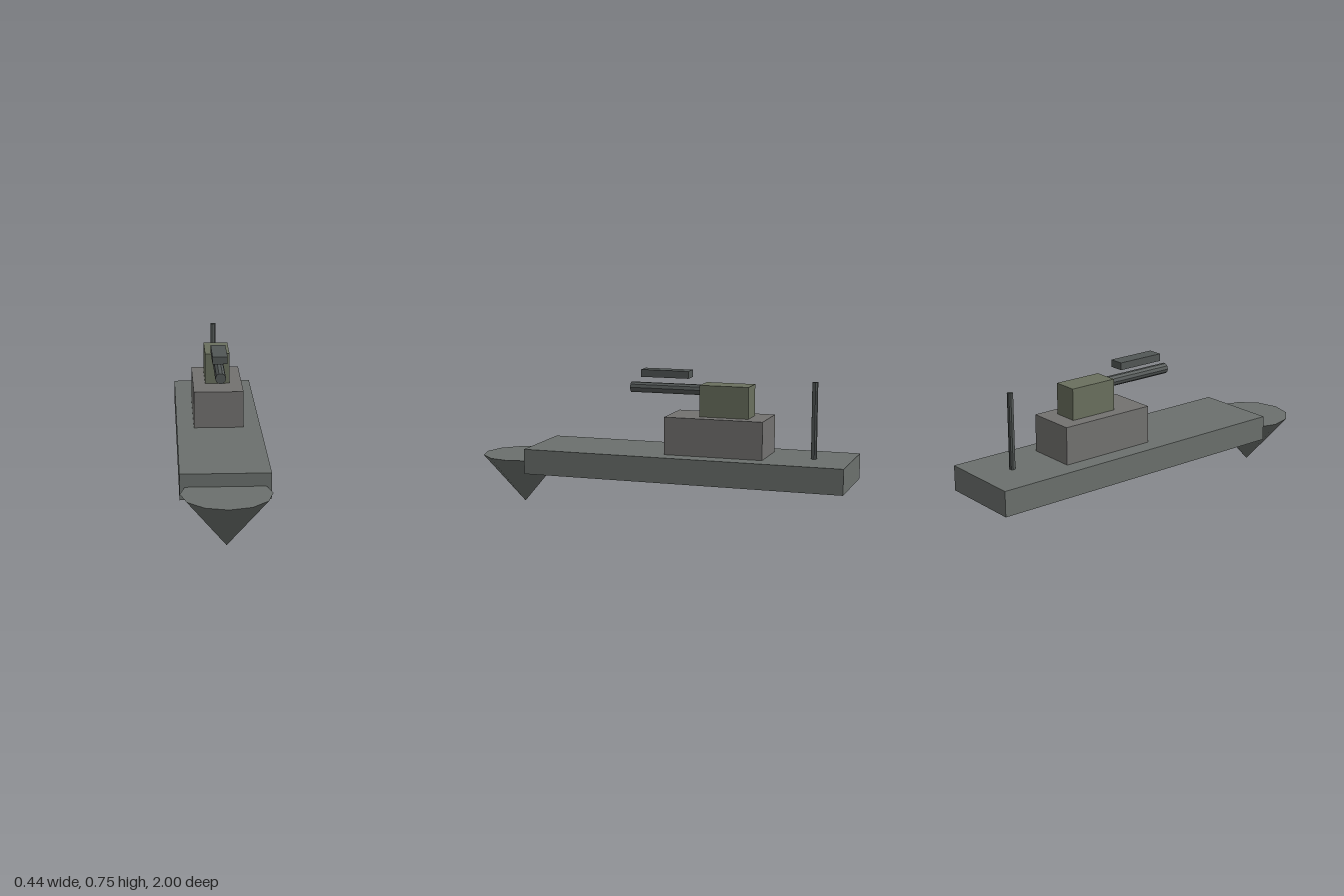
import * as THREE from 'three';

const paint = (color) => new THREE.MeshStandardMaterial({ color, flatShading: true });

export function createModel() {
  const ship = new THREE.Group();
  ship.name = 'ship';

  const hullGrey = paint(0x6b706d);
  const houseGrey = paint(0x737270);
  const olive = paint(0x6a705e);
  const gunmetal = paint(0x525756);

  const add = (name, geometry, material, x, y, z) => {
    const mesh = new THREE.Mesh(geometry, material);
    mesh.name = name;
    mesh.position.set(x, y, z);
    ship.add(mesh);
    return mesh;
  };

  // Box given by width and its y and z ranges, centred on x = 0
  const block = (name, material, width, y0, y1, z0, z1) =>
    add(name, new THREE.BoxGeometry(width, y1 - y0, z1 - z0), material, 0, (y0 + y1) / 2, (z0 + z1) / 2);

  // Stacked body: hull, deckhouse, turret, and the slab above the gun
  block('hull', hullGrey, 0.44, 0.195, 0.326, -1, 0.685);
  block('deckhouse', houseGrey, 0.26, 0.326, 0.52, -0.571, -0.055);
  block('turret', olive, 0.13, 0.52, 0.682, -0.481, -0.224);
  block('upperSlab', gunmetal, 0.077, 0.709, 0.747, -0.156, 0.101);

  // Bow: inverted twelve-sided cone
  add('bow', new THREE.ConeGeometry(0.22, 0.26, 12).rotateX(Math.PI), hullGrey, 0, 0.13, 0.78);

  // Gun barrel running forward out of the turret
  const barrel = new THREE.CylinderGeometry(0.0275, 0.0275, 0.45, 10);
  barrel.rotateX(Math.PI / 2).rotateZ(Math.PI / 2);
  add('gunBarrel', barrel, gunmetal, 0, 0.65, -0.06);

  // Aft mast
  add('mast', new THREE.CylinderGeometry(0.015, 0.015, 0.389, 10), gunmetal, 0, 0.52, -0.806);

  return ship;
}
